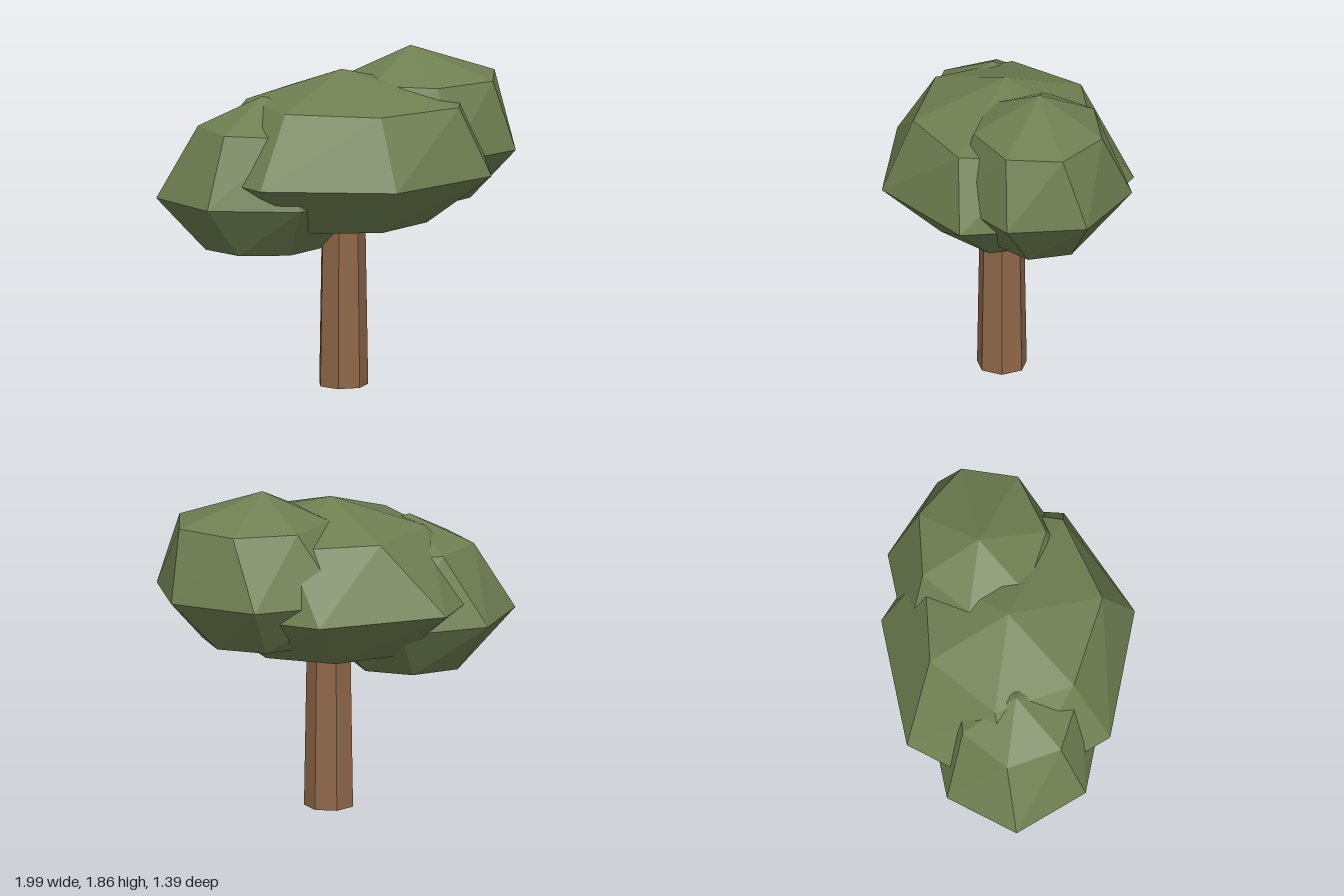
import * as THREE from 'three';
import { ConvexGeometry } from 'three/addons/geometries/ConvexGeometry.js';

const SIDES = 7;

// Faceted leaf clump around its widest ring: tip, upper ring, widest ring, flat base ring
function clumpGeometry(rx, rz) {
  const points = [new THREE.Vector3(0, 0.56, 0)];
  const upper = [[0.73, 0.36], [0.22, 0.71], [-0.38, 0.54], [-0.6, -0.05], [-0.28, -0.58], [0.31, -0.67], [0.77, -0.25]];
  for (const [x, z] of upper) points.push(new THREE.Vector3(x * rx, 0.39, z * rz));
  const ring = (radius, y, degrees) => {
    for (let i = 0; i < SIDES; i++) {
      const a = THREE.MathUtils.degToRad(degrees) + (i / SIDES) * Math.PI * 2;
      points.push(new THREE.Vector3(Math.cos(a) * radius * rx, y, Math.sin(a) * radius * rz));
    }
  };
  ring(1, 0, 20.5);
  ring(0.55, -0.29, 13);
  return new ConvexGeometry(points);
}

export function createModel() {
  const tree = new THREE.Group();
  tree.name = 'tree';
  const leafGreen = new THREE.MeshStandardMaterial({ color: 0x6f7f51 });
  leafGreen.name = 'leafGreen';
  const barkBrown = new THREE.MeshStandardMaterial({ color: 0x8e6748 });
  barkBrown.name = 'barkBrown';

  // Tapered trunk, its top hidden in the foliage
  const trunkGeometry = new THREE.CylinderGeometry(0.122, 0.14, 1.1, SIDES, 1, false, Math.PI / 2).toNonIndexed();
  trunkGeometry.computeVertexNormals();
  const trunk = new THREE.Mesh(trunkGeometry, barkBrown);
  trunk.name = 'trunk';
  trunk.position.set(0.036, 0.55, 0.02);
  tree.add(trunk);

  // Three overlapping clumps of one shape: name, centre, half width, half depth
  const clumps = [
    ['mainFoliage', [0.03, 1.21, 0], 0.87, 0.715],
    ['leftFoliage', [0.42, 1.3, -0.19], 0.61, 0.513],
    ['rightFoliage', [-0.41, 1.08, 0.075], 0.59, 0.488],
  ];
  for (const [name, centre, rx, rz] of clumps) {
    const clump = new THREE.Mesh(clumpGeometry(rx, rz), leafGreen);
    clump.name = name;
    clump.position.set(...centre);
    tree.add(clump);
  }
  return tree;
}
